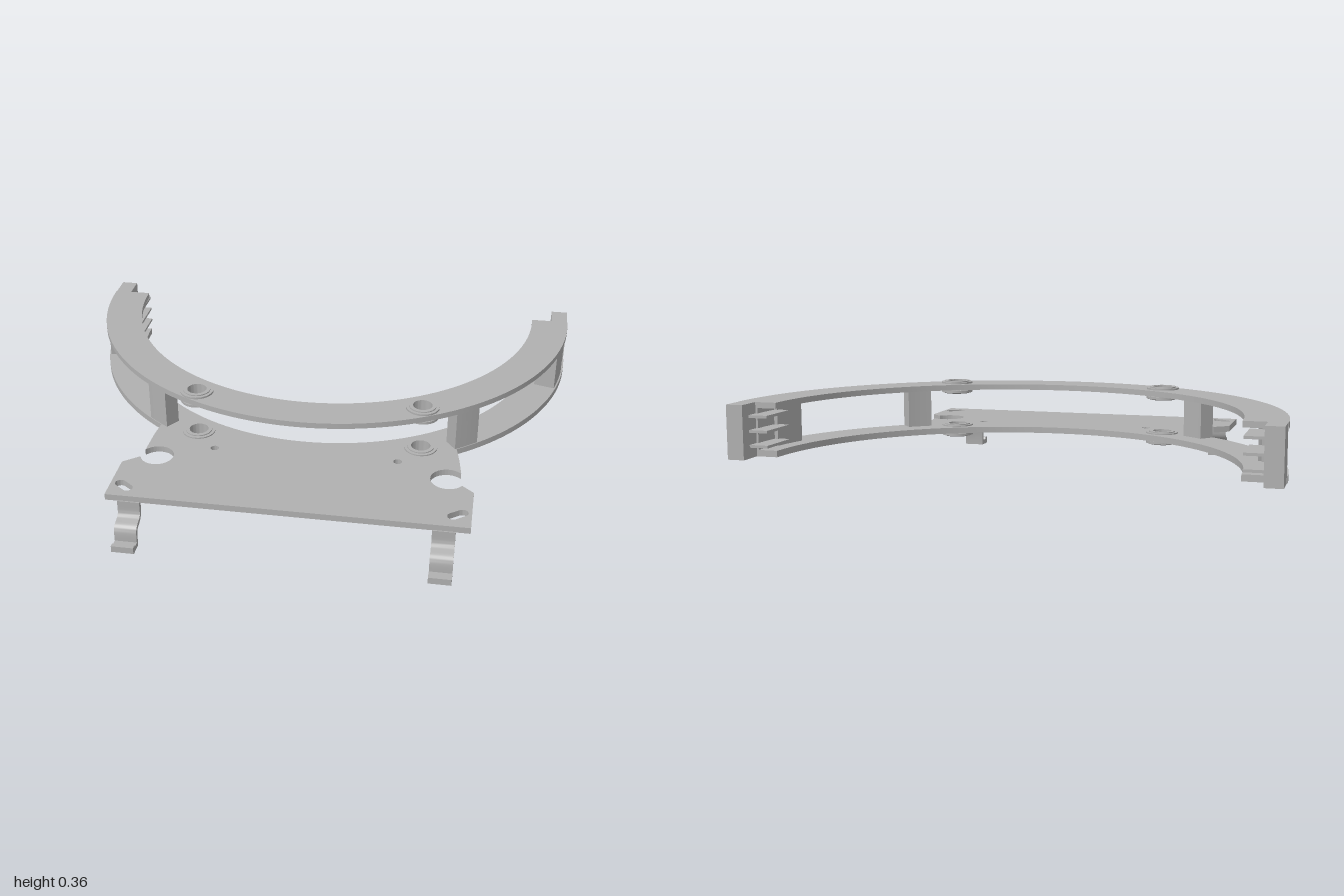
import * as THREE from 'three';
import { toCreasedNormals } from 'three/addons/utils/BufferGeometryUtils.js';

const CZ = -0.67, R_OUT = 1, R_IN = 0.85;
const JOIN = 0.946;                       // angle where the base plate meets the ring
const grommets = [[-0.425, 0.163], [0.447, 0.15]];
const gray = new THREE.MeshStandardMaterial({ color: 0xb0b0b0 });
gray.name = 'gray metal';

function addMesh(parent, geometry, name) {
  const mesh = new THREE.Mesh(geometry, gray);
  mesh.name = name;
  parent.add(mesh);
  return mesh;
}

// Extrudes a plan drawn in (x, z) between two heights
function slab(shape, y0, y1) {
  const g = new THREE.ExtrudeGeometry(shape, { depth: y1 - y0, bevelEnabled: false, curveSegments: 56 });
  g.rotateX(Math.PI / 2);
  g.translate(0, y1, 0);
  return toCreasedNormals(g, 0.5);
}

function circleHole(x, z, r) {
  return new THREE.Path().absarc(x, z, r, 0, Math.PI * 2, true);
}

// Rounded slot centred on (x, z) and turned by angle
function slotHole(x, z, half, r, angle) {
  const c = Math.cos(angle) * half, s = Math.sin(angle) * half;
  const p = new THREE.Path();
  p.absarc(x + c, z + s, r, angle + Math.PI / 2, angle - Math.PI / 2, true);
  p.absarc(x - c, z - s, r, angle - Math.PI / 2, angle - Math.PI * 1.5, true);
  p.closePath();
  return p;
}

// Part of a ring, angles measured from +x towards +z
function sector(r0, r1, a0, a1) {
  const s = new THREE.Shape();
  s.absarc(0, CZ, r1, a0, a1, false);
  s.absarc(0, CZ, r0, a1, a0, true);
  s.closePath();
  return s;
}

function lowerPlateShape() {
  const s = new THREE.Shape();
  s.absarc(0, CZ, R_OUT, 0, JOIN, false);
  s.lineTo(0.6, 0.22);
  s.lineTo(0.612, 0.31);
  // right-hand notch
  s.absarc(0.565, 0.355, 0.065, Math.atan2(-0.045, 0.047), Math.atan2(0.035, 0.055), true);
  s.lineTo(0.665, 0.43);
  s.lineTo(0.665, 0.65);
  s.lineTo(-0.66, 0.65);
  s.lineTo(-0.66, 0.43);
  // left-hand notch
  s.absarc(-0.54, 0.365, 0.063, Math.atan2(0.017, -0.06), Math.atan2(-0.03, -0.055), true);
  s.lineTo(-0.592, 0.22);
  s.absarc(0, CZ, R_OUT, Math.PI - JOIN, Math.PI, false);
  s.absarc(0, CZ, R_IN, Math.PI, 0, true);
  s.closePath();
  s.holes.push(
    circleHole(-0.335, 0.28, 0.016), circleHole(0.37, 0.265, 0.016),
    slotHole(-0.607, 0.583, 0.021, 0.02, 0.65), slotHole(0.615, 0.575, 0.021, 0.02, -0.65));
  return s;
}

// Flanged bush with a through hole
function grommetGeometry() {
  const pts = [
    [0.037, -0.026], [0.052, -0.026], [0.064, -0.022], [0.064, -0.012], [0.045, -0.012],
    [0.045, 0.012], [0.064, 0.012], [0.064, 0.022], [0.052, 0.022], [0.052, 0.026],
    [0.037, 0.026], [0.037, -0.026],
  ].map(([x, y]) => new THREE.Vector2(x, y));
  return toCreasedNormals(new THREE.LatheGeometry(pts, 36), 0.5);
}

// Bent spring strip drawn in (z, y) and extruded across x
function footGeometry(width) {
  const s = new THREE.Shape();
  s.moveTo(0.635, 0.152);
  s.lineTo(0.655, 0.152);
  s.bezierCurveTo(0.655, 0.10, 0.65, 0.095, 0.68, 0.088);
  s.bezierCurveTo(0.715, 0.08, 0.718, 0.07, 0.717, 0.02);
  s.lineTo(0.742, 0.02);
  s.lineTo(0.747, 0.029);
  s.lineTo(0.765, 0.029);
  s.lineTo(0.765, 0.004);
  s.lineTo(0.76, 0);
  s.lineTo(0.705, 0);
  s.lineTo(0.702, 0.05);
  s.bezierCurveTo(0.70, 0.068, 0.69, 0.068, 0.67, 0.074);
  s.bezierCurveTo(0.635, 0.085, 0.64, 0.11, 0.635, 0.152);
  const g = new THREE.ExtrudeGeometry(s, { depth: width, bevelEnabled: false, curveSegments: 10 });
  g.translate(0, 0, -width / 2);
  g.rotateY(-Math.PI / 2);
  return toCreasedNormals(g, 0.6);
}

export function createModel() {
  const model = new THREE.Group();
  model.name = 'ringBracket';

  // Upper half ring and lower half ring with base plate
  const upper = sector(R_IN, R_OUT, 0, Math.PI);
  const lower = lowerPlateShape();
  for (const [x, z] of grommets) {
    upper.holes.push(circleHole(x, z, 0.042));
    lower.holes.push(circleHole(x, z, 0.042));
  }
  addMesh(model, slab(upper, 0.33, 0.352), 'upperRing');
  addMesh(model, slab(lower, 0.15, 0.174), 'lowerPlate');

  // Grommets in both plates
  for (const [x, z] of grommets) {
    for (const y of [0.157, 0.337]) {
      addMesh(model, grommetGeometry(), 'grommet').position.set(x, y, z);
    }
  }

  for (const side of [1, -1]) {
    const name = side > 0 ? 'left' : 'right';
    const mirrored = (a0, a1) => (side > 0 ? [a0, a1] : [Math.PI - a1, Math.PI - a0]);

    // Spacer post between the rings
    const post = side > 0 ? [0.848, 0.952] : [0.875, 0.978];
    addMesh(model, slab(sector(0.935, 0.997, ...mirrored(...post)), 0.17, 0.334), name + 'Post');

    // Curved end wall with its thicker inner pad
    addMesh(model, slab(sector(0.925, 0.985, ...mirrored(0, 0.275)), 0.17, 0.334), name + 'EndWall');
    addMesh(model, slab(sector(0.91, 0.994, ...mirrored(0.12, 0.275)), 0.172, 0.332), name + 'EndPad');

    // Full-height end tab
    const tab = addMesh(model, new THREE.BoxGeometry(0.065, 0.202, 0.1), name + 'EndTab');
    tab.position.set(side * 0.9655, 0.251, -0.715);

    // Three contact fins
    for (const y of [0.195, 0.25, 0.305]) {
      const fin = addMesh(model, new THREE.BoxGeometry(0.08, 0.01, 0.17), name + 'Fin');
      fin.position.set(side * 0.9, y, -0.635);
    }

    // Spring foot
    addMesh(model, footGeometry(0.083), name + 'Foot').position.x = side * 0.572;
  }
  return model;
}
